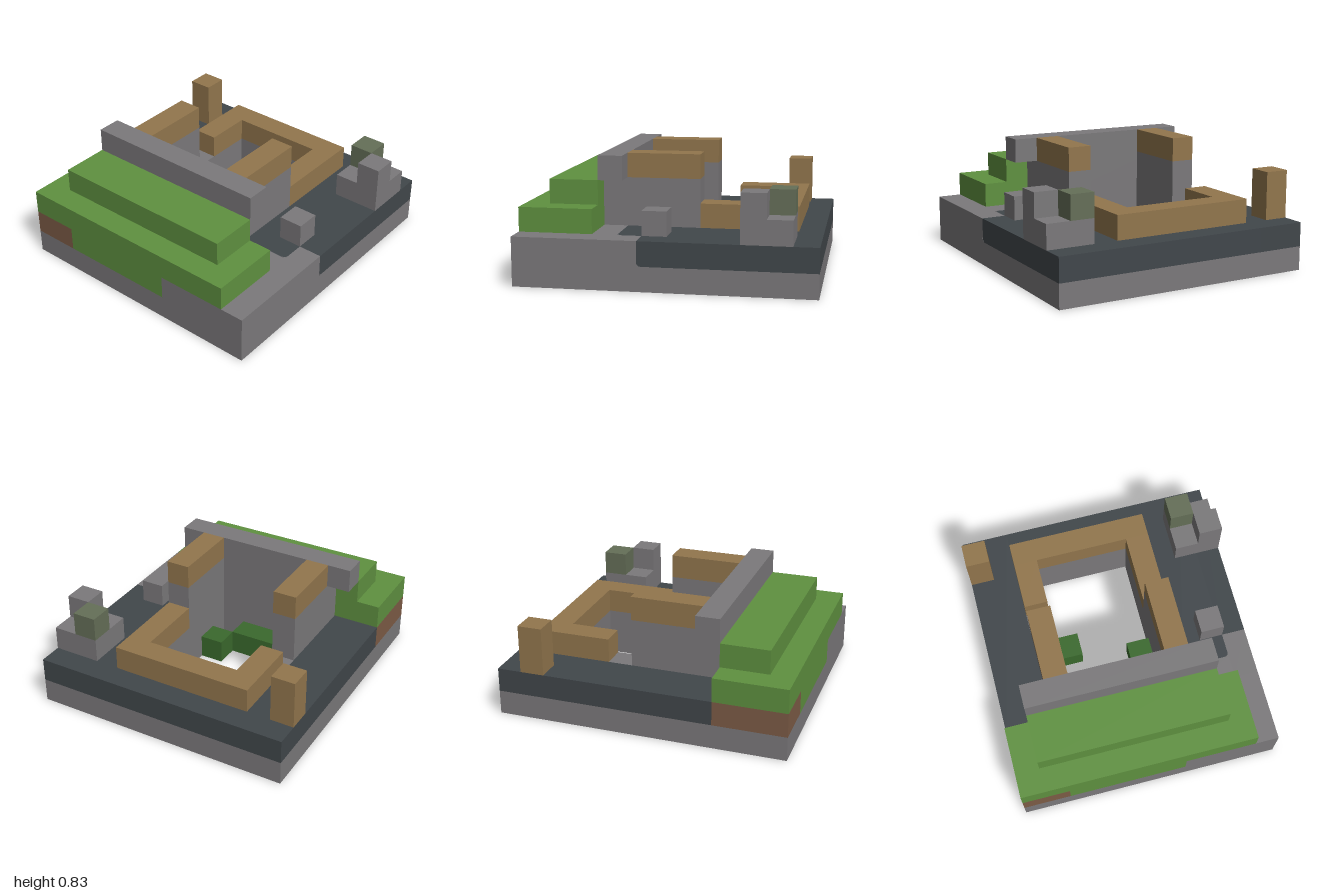
import * as THREE from 'three';

const U = 1 / 6; // one block
const X0 = -11 / 12, Z0 = -1;
const mat = (name, color) => {
  const m = new THREE.MeshStandardMaterial({ color });
  m.name = name;
  return m;
};

export function createModel() {
  const model = new THREE.Group();
  model.name = 'blockRuin';
  const stone = mat('stone grey', 0x7b797b);
  const slate = mat('dark slate', 0x41474b);
  const grass = mat('grass green', 0x5f9140);
  const leaf = mat('dark leaf green', 0x3a692d);
  const wood = mat('tan wood', 0x92764d);
  const dirt = mat('red brown dirt', 0x7d5c46);
  const moss = mat('mossy stone', 0x656f58);

  // Box between block coordinates: columns x, layers y, rows z (from the back)
  const block = (name, m, x1, x2, y1, y2, z1, z2) => {
    const g = new THREE.BoxGeometry((x2 - x1) * U, (y2 - y1) * U, (z2 - z1) * U);
    const mesh = new THREE.Mesh(g, m);
    mesh.name = name;
    mesh.position.set(X0 + (x1 + x2) / 2 * U, (y1 + y2) / 2 * U, Z0 + (z1 + z2) / 2 * U);
    model.add(mesh);
  };

  // Flat frame lying in the ground plane with a rectangular opening
  const frame = (name, m, y, [x1, x2, z1, z2], [a1, a2, b1, b2]) => {
    const px = x => X0 + x * U, pz = z => -(Z0 + z * U);
    const rect = (path, l, r, b, f) => path.moveTo(px(l), pz(b)).lineTo(px(l), pz(f))
      .lineTo(px(r), pz(f)).lineTo(px(r), pz(b)).closePath();
    const shape = rect(new THREE.Shape(), x1, x2, z1, z2);
    shape.holes.push(rect(new THREE.Path(), a1, a2, b1, b2));
    const g = new THREE.ExtrudeGeometry(shape, { depth: U, bevelEnabled: false });
    g.rotateX(-Math.PI / 2);
    const mesh = new THREE.Mesh(g, m);
    mesh.name = name;
    mesh.position.y = y * U;
    model.add(mesh);
  };

  // Foundation and the stone ring around the shaft
  frame('foundation', stone, 0, [0, 11, 0, 12], [3, 7, 2, 8]);
  frame('shaftRing', stone, 1, [2, 8, 1, 9], [3, 7, 2, 8]);

  // Ground layer
  block('slateLeft', slate, 0, 2, 1, 2, 0, 9);
  block('slateBack', slate, 2, 8, 1, 2, 0, 1);
  block('slateRight', slate, 8, 10, 1, 2, 0, 8);
  block('slateRightEdge', slate, 10, 11, 1, 2, 0, 7);
  block('stoneRightEdge', stone, 10, 11, 1, 2, 7, 9);
  block('stoneRightInner', stone, 8, 10, 1, 2, 8, 9);
  block('stoneFrontRight', stone, 7, 11, 1, 2, 9, 12);
  block('grassFront', grass, 2, 7, 1, 2, 9, 12);
  block('dirtFront', dirt, 0, 2, 1, 2, 9, 12);

  // Thin stone fillets that round the slate corners
  const fillet = new THREE.Shape();
  fillet.moveTo(0, 0).lineTo(0.03, 0).quadraticCurveTo(0, 0, 0, 0.03);
  const filletGeo = new THREE.ExtrudeGeometry(fillet, { depth: 0.002, bevelEnabled: false });
  const sideFillet = new THREE.Mesh(filletGeo, stone);
  sideFillet.name = 'sideCornerFillet';
  sideFillet.rotation.y = Math.PI / 2;
  sideFillet.position.set(X0 + 11 * U, U, Z0 + 7 * U);
  const topFillet = new THREE.Mesh(filletGeo, stone);
  topFillet.name = 'topCornerFillet';
  topFillet.rotation.set(-Math.PI / 2, 0, Math.PI / 2);
  topFillet.position.set(X0 + 10 * U, 2 * U, Z0 + 8 * U);
  model.add(sideFillet, topFillet);

  // Stepped grass bank
  block('grassLowerStep', grass, 0, 10, 2, 3, 9, 12);
  block('grassUpperStep', grass, 1, 9, 3, 4, 9, 11);

  // Front wall with wider cap, and side walls with wooden top beams
  block('frontWall', stone, 2, 8, 2, 4, 8, 9);
  block('frontWallCap', stone, 1, 9, 4, 5, 8, 9);
  for (const x of [2, 7]) {
    block('sideWall', stone, x, x + 1, 2, 4, 5, 8);
    block('sideTopBeam', wood, x, x + 1, 4, 5, 5, 8);
  }

  // Low wooden beams, with a doorway gap on one side
  block('backBeam', wood, 2, 8, 2, 3, 1, 2);
  block('rightLowBeam', wood, 7, 8, 2, 3, 2, 5);
  block('leftLowBeam', wood, 2, 3, 2, 3, 2, 4);
  block('woodPost', wood, 0, 1, 2, 4, 1, 2);

  // Rubble stones
  block('looseStone', stone, 9, 10, 2, 3, 6, 7);
  block('rubbleBase', stone, 9, 11, 2, 3, 1, 3);
  block('rubbleTop', stone, 10, 11, 3, 4, 2, 3);
  block('mossyStone', moss, 9, 10, 3, 4, 1, 2);

  // Plants at the bottom of the shaft
  block('shaftLeafStrip', leaf, 3, 6, 0, 1, 7, 8);
  block('shaftLeafLeft', leaf, 3, 4, 0, 1, 5, 6);
  block('shaftLeafRight', leaf, 6, 7, 0, 1, 6, 7);

  return model;
}
